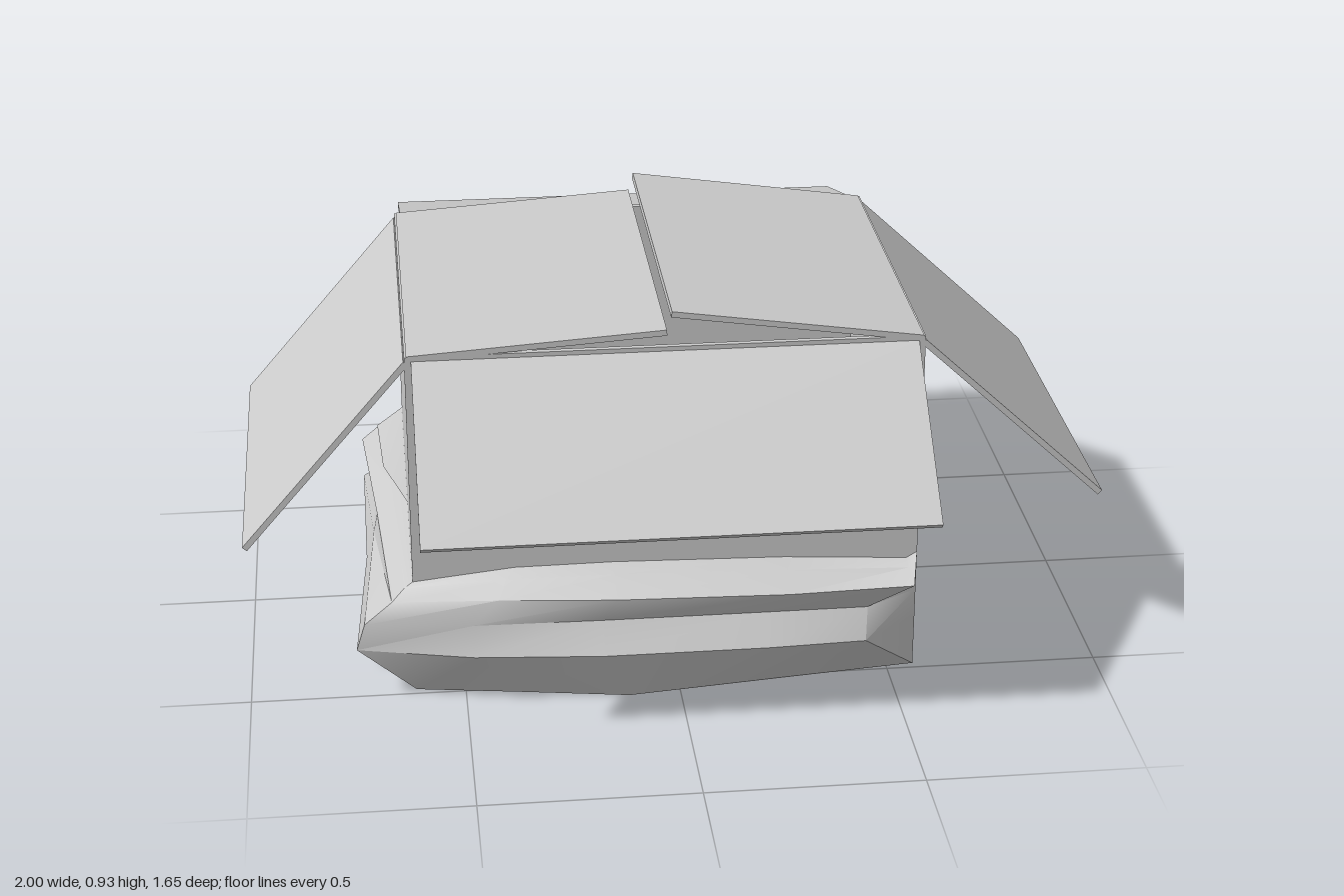
import * as THREE from 'three';
import { toCreasedNormals } from 'three/addons/utils/BufferGeometryUtils.js';

const X0 = -0.615, X1 = 0.565, Z0 = -0.42, Z1 = 0.48, H = 0.85, T = 0.014;

export function createModel() {
  const group = new THREE.Group();
  const card = new THREE.MeshStandardMaterial({ color: 0xcccccc });
  const thin = new THREE.MeshStandardMaterial({ color: 0xcccccc, side: THREE.DoubleSide });

  const add = (name, geometry, material = card) => {
    const mesh = new THREE.Mesh(geometry, material);
    mesh.name = name;
    group.add(mesh);
    return mesh;
  };

  // Box given by its two opposite corners
  const slab = (name, x0, x1, y0, y1, z0, z1) =>
    add(name, new THREE.BoxGeometry(x1 - x0, y1 - y0, z1 - z0))
      .position.set((x0 + x1) / 2, (y0 + y1) / 2, (z0 + z1) / 2);

  // Flap hinged along z: from (xa, ya) to (xb, yb)
  const sideFlap = (name, xa, ya, xb, yb) => {
    const m = add(name, new THREE.BoxGeometry(Math.hypot(xb - xa, yb - ya), T, Z1 - Z0));
    m.position.set((xa + xb) / 2, (ya + yb) / 2, (Z0 + Z1) / 2);
    m.rotation.z = Math.atan2(yb - ya, xb - xa);
  };

  // Flap hinged along x: from (za, ya) to (zb, yb)
  const endFlap = (name, za, ya, zb, yb) => {
    const m = add(name, new THREE.BoxGeometry(1.15, T, Math.hypot(zb - za, yb - ya)));
    m.position.set(-0.025, (ya + yb) / 2, (za + zb) / 2);
    m.rotation.x = -Math.atan2(yb - ya, zb - za);
  };

  // Thin torn piece: a fan around its first point
  const shred = (name, ...points) => {
    const g = new THREE.BufferGeometry().setFromPoints(points.map((p) => new THREE.Vector3(...p)));
    const index = [];
    for (let i = 1; i < points.length - 1; i++) index.push(0, i, i + 1);
    g.setIndex(index);
    add(name, toCreasedNormals(g, 0.3), thin);
  };

  // Open carton
  slab('floor', X0, X1, 0, T, Z0, Z1);
  slab('frontWall', X0, X1, 0, H, Z1 - T, Z1);
  slab('backWall', X0, X1, 0, H, Z0, Z0 + T);
  slab('leftWall', X1 - T, X1, 0, H, Z0 + T, Z1 - T);
  slab('rightWall', X0, X0 + T, 0, H, Z0 + T, Z1 - T);

  // Flaps: two nearly closed over the top, four hanging outward
  sideFlap('topFlapRight', X0 + 0.005, 0.845, -0.025, 0.884);
  sideFlap('topFlapLeft', X1 - 0.005, 0.845, -0.015, 0.928);
  sideFlap('outerFlapRight', X0 + 0.003, 0.835, -0.994, 0.39);
  sideFlap('outerFlapLeft', X1 - 0.003, 0.835, 0.994, 0.432);
  endFlap('frontFlap', Z1 - 0.003, 0.835, 0.82, 0.54);
  endFlap('backFlap', Z0 + 0.003, 0.84, -0.825, 0.72);

  // Crushed lower panel, wrapping from the front around the right side.
  // Each column runs from the foot of the wall, over the folds, back to the wall.
  const heights = [0, 0.13, 0.2, 0.265, 0.3];
  const columns = [
    heights.map((y) => [X1, y, Z1]).concat([[X1, 0.3, Z1]]),
    [[X1, 0, Z1], [0.43, 0.13, 0.59], [0.44, 0.195, 0.545], [0.54, 0.268, 0.59], [0.54, 0.28, 0.52], [0.54, 0.285, Z1]],
    [[0.25, 0, 0.515], [0.2, 0.13, 0.6], [0.2, 0.2, 0.555], [0.25, 0.262, 0.59], [0.25, 0.295, 0.53], [0.25, 0.303, Z1]],
    [[-0.12, 0, 0.56], [-0.18, 0.13, 0.6], [-0.18, 0.2, 0.555], [-0.15, 0.262, 0.575], [-0.15, 0.3, 0.52], [-0.15, 0.312, Z1]],
    [[-0.36, 0, 0.52], [-0.48, 0.13, 0.575], [-0.48, 0.2, 0.55], [-0.42, 0.26, 0.545], [-0.4, 0.295, 0.51], [-0.38, 0.31, Z1]],
    [[X0, 0, Z1], [-0.75, 0.135, 0.52], [-0.73, 0.2, 0.52], [-0.665, 0.25, 0.51], [-0.635, 0.275, 0.49], [X0, 0.285, Z1]],
    [[X0, 0, 0.05], [-0.72, 0.13, 0.05], [-0.7, 0.2, 0.05], [-0.69, 0.25, 0.05], [-0.65, 0.28, 0.05], [X0, 0.29, 0.05]],
    [[X0, 0, Z0], [-0.72, 0.13, -0.41], [-0.68, 0.19, -0.34], [-0.72, 0.23, -0.42], [-0.66, 0.28, -0.42], [X0, 0.3, Z0]],
    heights.map((y) => [X0, y, Z0]).concat([[X0, 0.3, Z0]]),
  ];
  const rows = 6;
  const index = [];
  for (let c = 0; c < columns.length - 1; c++) {
    for (let r = 0; r < rows - 1; r++) {
      const a = c * rows + r, b = a + rows;
      index.push(a, a + 1, b, b, a + 1, b + 1);
    }
  }
  const crush = new THREE.BufferGeometry().setFromPoints(columns.flat().map((p) => new THREE.Vector3(...p)));
  crush.setIndex(index);
  add('crushedPanel', toCreasedNormals(crush, 0.6), thin);

  // Underside of the crushed panel
  shred('crushedPanelBase', [X1, 0, Z1], [0.25, 0, 0.515], [-0.12, 0, 0.56], [-0.36, 0, 0.52], [X0, 0, Z1]);

  // Torn strips on the back
  const zb = Z0 - 0.003;
  shred('tornStripLeft', [X1, 0.32, zb], [0.57, 0.345, -0.48], [0.35, 0.34, -0.46], [0.2, 0.315, zb]);
  shred('tornStripLeftUnder', [X1, 0.31, zb], [0.57, 0.31, -0.475], [0.38, 0.3, -0.45], [0.28, 0.305, zb]);
  shred('tornScrap', [0.16, 0.42, zb], [0.08, 0.475, -0.475], [0.06, 0.435, zb]);
  shred('tornScrapUnder', [0.16, 0.42, zb], [0.08, 0.475, -0.475], [0.1, 0.405, zb]);
  shred('tornStripRight', [0, 0.34, zb], [-0.03, 0.36, -0.475], [-0.6, 0.32, -0.48], [X0, 0.305, zb]);
  shred('tornStripRightUnder', [0, 0.325, zb], [-0.03, 0.32, -0.46], [-0.6, 0.3, -0.475], [X0, 0.295, zb]);
  shred('backCrease', [0.46, 0.21, zb], [X0, 0.215, Z0 - 0.008], [-0.72, 0.23, -0.425], [X0, 0.2, zb]);

  // Torn edge on the right side and slit on the left side
  shred('tornEdgeRight', [X0, 0.325, -0.4], [-0.68, 0.3, -0.35], [-0.67, 0.305, -0.1], [X0, 0.3, 0.1]);
  shred('slitLeft', [X1 + 0.003, 0.307, 0.37], [X1 + 0.008, 0.282, 0.06], [X1 + 0.003, 0.275, 0.08]);

  return group;
}
